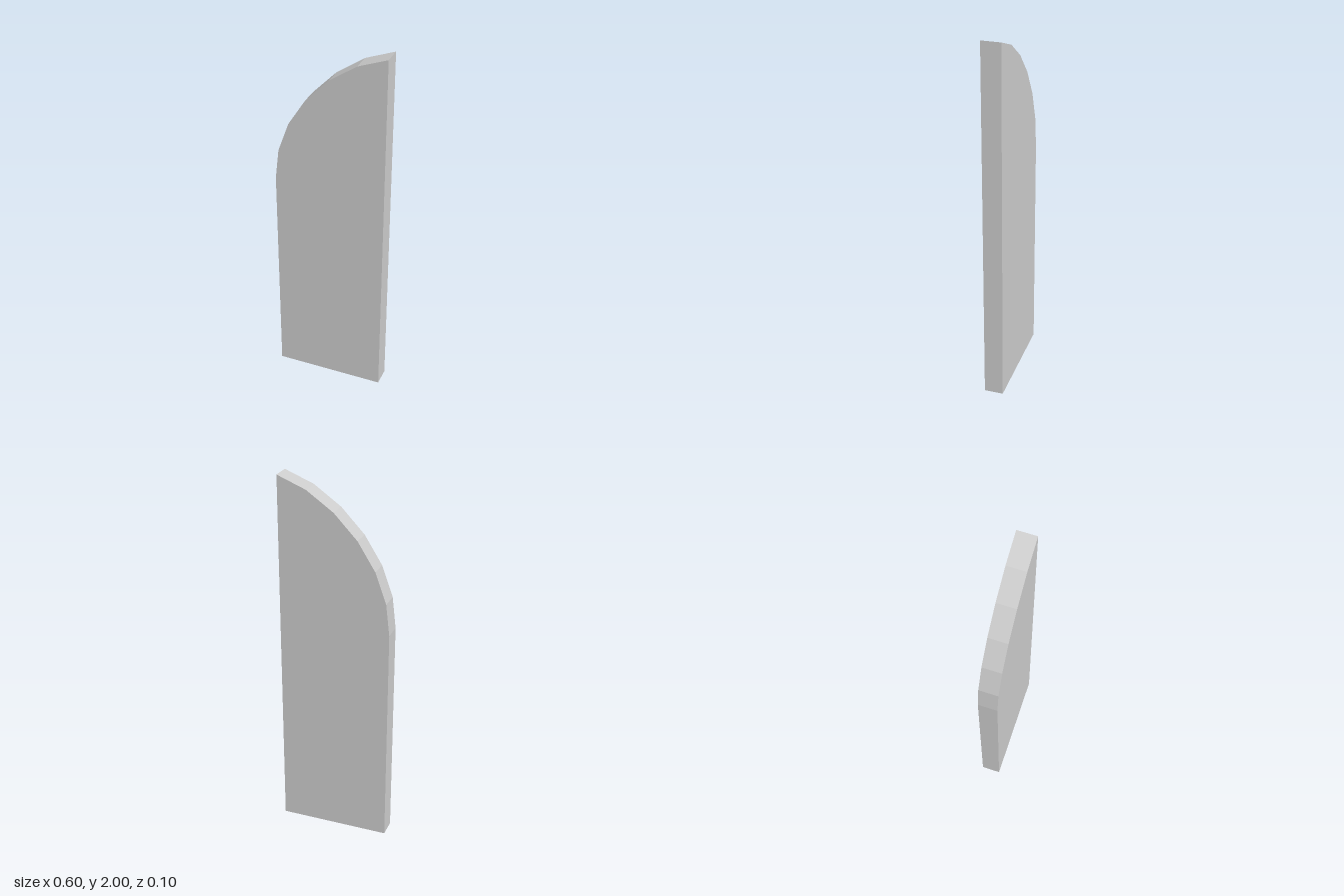
import * as THREE from 'three';

const HALF_WIDTH = 0.3, HEIGHT = 2, THICKNESS = 0.103;

export function createModel() {
  const model = new THREE.Group();
  model.name = 'archedPanel';

  // Outline: straight base and sides, with a faceted half arch on the top
  const arch = [[0.145, 1.94], [0, 1.84], [-0.125, 1.71], [-0.22, 1.56], [-0.28, 1.395], [-HALF_WIDTH, 1.225]];
  const outline = new THREE.Shape();
  outline.moveTo(-HALF_WIDTH, 0);
  outline.lineTo(HALF_WIDTH, 0);
  outline.lineTo(HALF_WIDTH, HEIGHT);
  arch.forEach(([x, y]) => outline.lineTo(x, y));
  outline.closePath();

  // Flat slab, centred on its thickness
  const geometry = new THREE.ExtrudeGeometry(outline, { depth: THICKNESS, bevelEnabled: false });
  geometry.translate(0, 0, -THICKNESS / 2);
  const panel = new THREE.Mesh(geometry, new THREE.MeshStandardMaterial({ color: 0xcccccc, flatShading: true }));
  panel.name = 'panel';
  model.add(panel);

  return model;
}
